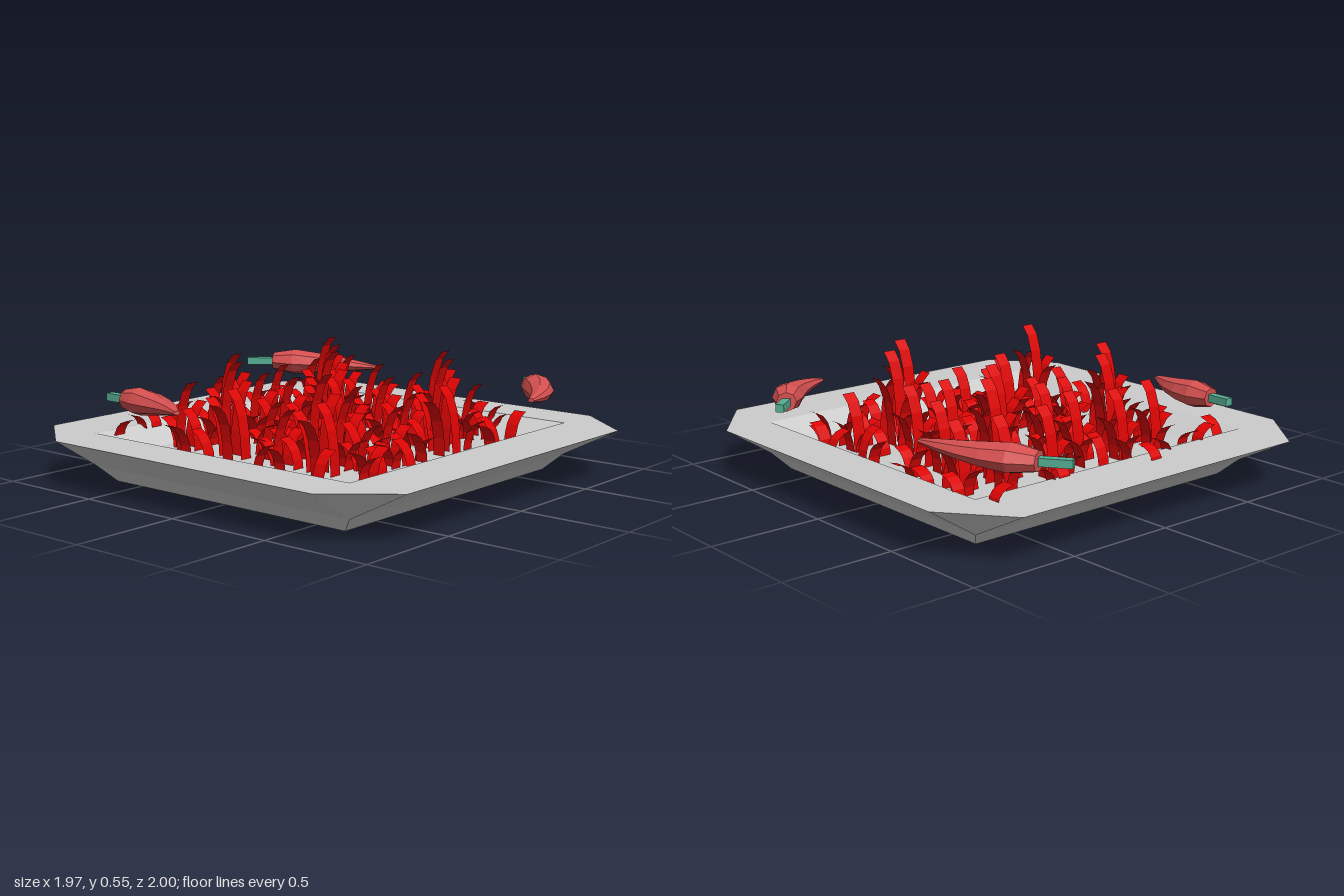
import * as THREE from 'three';
import { mergeGeometries } from 'three/addons/utils/BufferGeometryUtils.js';

const grey = new THREE.MeshStandardMaterial({ color: 0xcccccc, flatShading: true });
const red = new THREE.MeshStandardMaterial({ color: 0xdd0404, flatShading: true, side: THREE.DoubleSide });
const skin = new THREE.MeshStandardMaterial({ color: 0xd65050, flatShading: true });
const green = new THREE.MeshStandardMaterial({ color: 0x55ad92, flatShading: true });

const RIM = 0.215, FLOOR = 0.135;

// Eight-point ring; with cx = x and cz = z it becomes a rectangle.
function ring(x, z, y, cx = x, cz = z) {
  return [[x, -cz], [x, cz], [cx, z], [-cx, z], [-x, cz], [-x, -cz], [-cx, -z], [cx, -z]]
    .map(([px, pz]) => new THREE.Vector3(px, y, pz));
}

// Square tray with a wide chamfered rim, skinned from the underside over the rim to the floor.
function makeTray() {
  const rings = [
    ring(0, 0, 0), ring(0.70, 0.65, 0), ring(0.76, 0.72, 0.07),
    ring(0.985, 1, RIM, 0.76, 0.72),
    ring(0.76, 0.72, RIM), ring(0.64, 0.58, FLOOR), ring(0, 0, FLOOR),
  ];
  const points = [];
  const addTriangle = (a, b, c) => {
    if (new THREE.Triangle(a, b, c).getArea() > 1e-6) points.push(a, b, c);
  };
  for (let r = 0; r < rings.length - 1; r++) {
    for (let i = 0; i < 8; i++) {
      const j = (i + 1) % 8, low = rings[r], up = rings[r + 1];
      addTriangle(low[i], up[i], up[j]);
      addTriangle(low[i], up[j], low[j]);
    }
  }
  const geometry = new THREE.BufferGeometry().setFromPoints(points);
  geometry.computeVertexNormals();
  const tray = new THREE.Mesh(geometry, grey);
  tray.name = 'tray';
  return tray;
}

// Height of the tray's upper surface: floor, sloping wall or rim.
function trayHeight(x, z) {
  const slope = Math.max((Math.abs(x) - 0.64) / 0.12, (Math.abs(z) - 0.58) / 0.14);
  return THREE.MathUtils.lerp(FLOOR, RIM, THREE.MathUtils.clamp(slope, 0, 1));
}

// Thin strip that curls over toward one of four directions.
function shred(x, z, top, turn) {
  const height = top - Math.max(trayHeight(x, z) - 0.01, top - 0.32);
  const geometry = new THREE.PlaneGeometry(0.06, height, 1, 4);
  const p = geometry.attributes.position;
  for (let i = 0; i < p.count; i++) {
    const t = p.getY(i) / height + 0.5;
    p.setZ(i, 0.08 * t * t - 0.03);
    p.setY(i, top - height + height * Math.sin(t * 1.35) / Math.sin(1.35));
  }
  geometry.rotateY(turn * Math.PI / 2);
  geometry.translate(x, 0, z);
  return geometry;
}

function makeShreds() {
  // Tuft centres: x, z, height of the tallest strip
  const tufts = [
    [-0.45, -0.48, 0.43], [-0.23, -0.50, 0.43], [0.18, -0.50, 0.43], [0.42, -0.50, 0.43],
    [-0.29, -0.36, 0.55], [-0.06, -0.40, 0.43], [0.37, -0.37, 0.55], [0.60, -0.44, 0.43],
    [-0.45, -0.20, 0.55], [-0.06, -0.22, 0.43], [0.20, -0.20, 0.55], [0.47, -0.16, 0.43],
    [-0.34, -0.06, 0.38], [0.04, -0.07, 0.55], [-0.45, 0.10, 0.38], [0.22, 0.10, 0.43],
    [-0.06, 0.14, 0.43], [0.40, 0.12, 0.43], [-0.45, 0.30, 0.55], [-0.23, 0.25, 0.43],
    [0.20, 0.44, 0.55], [0.37, 0.29, 0.55], [-0.10, 0.40, 0.38], [0.56, 0.34, 0.38],
    [0.20, 0.26, 0.38], [-0.23, 0.03, 0.38], [-0.30, 0.43, 0.33],
  ];
  // Strips of one tuft: x offset, z offset, drop below the tallest, direction
  const motif = [
    [0, 0, 0, 0], [0, 0.06, 0.12, 2], [0, -0.07, 0.17, 2],
    [0.06, 0, 0.10, 1], [-0.09, 0.04, 0.17, 3], [0.12, 0.09, 0.28, 0],
  ];
  // Single strips around the border
  const strays = [
    [-0.14, -0.78], [-0.26, -0.72], [-0.43, -0.71], [-0.52, -0.71], [0.31, -0.71],
    [0.39, -0.71], [0.18, -0.65], [0.69, -0.78], [0.74, -0.57], [0.78, -0.30],
    [0.67, 0.03], [0.73, 0.24], [0.71, 0.38], [0.58, 0.57], [0.40, 0.57],
    [0.28, 0.63], [-0.53, 0.63], [-0.41, 0.57], [-0.21, 0.57], [-0.04, 0.50],
    [-0.64, 0.16], [-0.59, 0.44], [-0.60, -0.21], [-0.58, -0.37], [-0.65, -0.66],
    [-0.14, -0.61], [0.62, -0.18], [0.60, 0.20], [-0.08, -0.53], [0.02, -0.49],
  ];
  const strips = [];
  for (const [x, z, top] of tufts) {
    for (const [dx, dz, drop, turn] of motif) {
      strips.push(shred(x + dx, z + dz, Math.max(0.24, top - drop), turn));
    }
  }
  strays.forEach(([x, z], i) => strips.push(shred(x, z, 0.27, i % 4)));
  const shreds = new THREE.Mesh(mergeGeometries(strips), red);
  shreds.name = 'shreddedGarnish';
  return shreds;
}

// Sweeps a cylinder along a level curve; size(t) gives its half width and half height.
function sweep(curve, sides, steps, size) {
  const geometry = new THREE.CylinderGeometry(1, 1, 1, sides, steps);
  geometry.rotateY(Math.PI / sides * (sides === 4 ? 1 : 0));
  const p = geometry.attributes.position;
  const up = new THREE.Vector3(0, 1, 0);
  for (let i = 0; i < p.count; i++) {
    const t = THREE.MathUtils.clamp(p.getY(i) + 0.5, 0, 1);
    const [w, h] = size(t);
    const side = curve.getTangent(t).cross(up).normalize();
    const v = curve.getPoint(t).addScaledVector(side, p.getX(i) * w).addScaledVector(up, p.getZ(i) * h);
    p.setXYZ(i, v.x, v.y, v.z);
  }
  geometry.computeVertexNormals();
  return geometry;
}

// Chilli pepper lying on the rim, from its stem end through a bend to the tip.
function makeChilli(name, stemTip, base, bend, tip, width) {
  const at = ([x, z]) => new THREE.Vector3(x, 0.36, z);
  const group = new THREE.Group();
  group.name = name;
  const widths = [0.65, 1, 0.96, 0.76, 0.5, 0.22];
  const heights = [0.7, 1, 0.82, 0.62, 0.42, 0.15];
  const body = new THREE.Mesh(
    sweep(new THREE.QuadraticBezierCurve3(at(base), at(bend), at(tip)), 8, 5, (t) => {
      const i = Math.round(t * 5);
      return [widths[i] * width, heights[i] * 0.062];
    }), skin);
  body.name = 'chilliBody';
  const stem = new THREE.Mesh(
    sweep(new THREE.LineCurve3(at(base), at(stemTip)), 4, 1, () => [0.026, 0.024]), green);
  stem.name = 'chilliStem';
  group.add(body, stem);
  return group;
}

export function createModel() {
  const model = new THREE.Group();
  model.name = 'garnishedTray';
  model.add(
    makeTray(),
    makeShreds(),
    makeChilli('backLeftChilli', [0.48, -0.97], [0.56, -0.86], [0.69, -0.61], [0.73, -0.34], 0.085),
    makeChilli('backRightChilli', [-0.645, -0.75], [-0.645, -0.645], [-0.63, -0.42], [-0.73, -0.24], 0.068),
    makeChilli('frontLeftChilli', [0.89, 0.43], [0.81, 0.50], [0.70, 0.68], [0.47, 0.73], 0.068),
  );
  return model;
}
